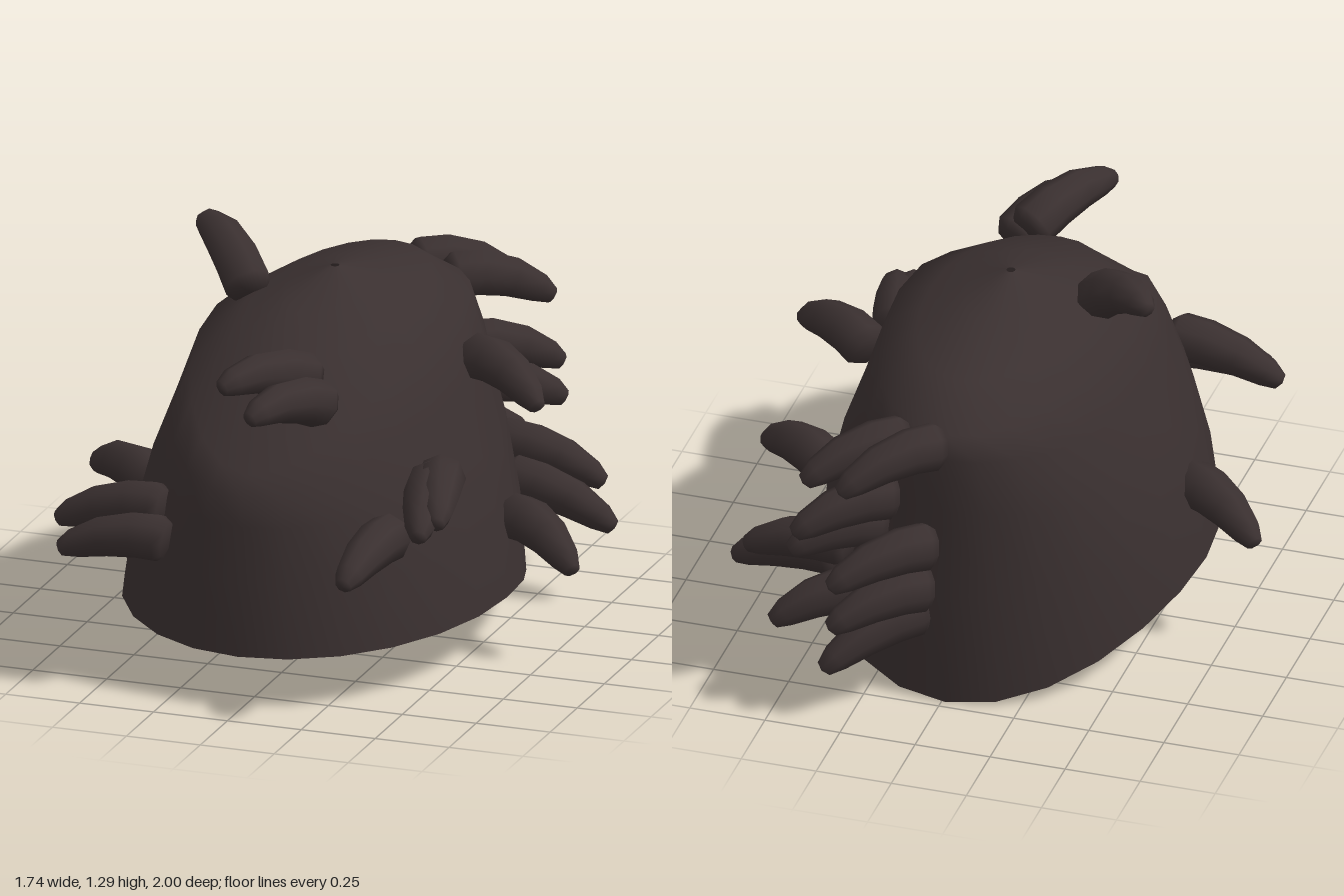
import * as THREE from 'three';
import { mergeVertices } from 'three/addons/utils/BufferGeometryUtils.js';

const SIDES = 24;

// Open shell: each ring gives front z,y / side x,y / back z,y
function capGeometry() {
  const rings = [
    [0.88, 0.175, 0.62, 0.19, -0.72, 0.0],
    [0.865, 0.42, 0.59, 0.41, -0.733, 0.4],
    [0.85, 0.6, 0.53, 0.63, -0.745, 0.72],
    [0.842, 0.695, 0.45, 0.84, -0.765, 0.92],
    [0.785, 0.755, 0.385, 1.035, -0.745, 1.0],
    [0.5, 1.025, 0.26, 1.1, -0.57, 1.105],
    [0.25, 1.118, 0.13, 1.155, -0.28, 1.155],
    [-0.005, 1.2, 0.014, 1.2, -0.035, 1.2],
  ];
  const pos = [], index = [];
  rings.forEach(([fz, fy, sx, sy, bz, by], i) => {
    for (let j = 0; j < SIDES; j++) {
      const a = (j / SIDES) * Math.PI * 2, c = Math.cos(a);
      const endY = c > 0 ? fy : by;
      pos.push(-0.01 + sx * Math.sin(a), sy + (endY - sy) * c * c, (fz + bz) / 2 + ((fz - bz) / 2) * c);
      if (i === rings.length - 1) continue;
      const p = i * SIDES + j, q = i * SIDES + ((j + 1) % SIDES);
      index.push(p, q, p + SIDES, q, q + SIDES, p + SIDES);
    }
  });
  const g = new THREE.BufferGeometry();
  g.setAttribute('position', new THREE.Float32BufferAttribute(pos, 3));
  g.setIndex(index);
  g.computeVertexNormals();
  return g;
}

// Tapered horn bent along an arc from base to tip
function tuftGeometry(base, tip, rise) {
  const profile = [[0, 0], [0.06, 0], [0.079, 0.07], [0.076, 0.3], [0.066, 0.6], [0.048, 0.86], [0.028, 0.98], [0, 1]]
    .map(([r, t]) => new THREE.Vector2(r, t));
  let g = new THREE.LatheGeometry(profile, 8);
  const a = new THREE.Vector3(...base), b = new THREE.Vector3(...tip);
  const mid = a.clone().add(b).multiplyScalar(0.5);
  mid.y += rise * 2;
  const curve = new THREE.QuadraticBezierCurve3(a, mid, b);
  const p = g.attributes.position, up = new THREE.Vector3(0, 1, 0);
  for (let i = 0; i < p.count; i++) {
    const t = p.getY(i), dir = curve.getTangent(t);
    const side = new THREE.Vector3().crossVectors(dir, up).normalize();
    const out = new THREE.Vector3().crossVectors(side, dir);
    const v = curve.getPoint(t).addScaledVector(side, p.getX(i)).addScaledVector(out, p.getZ(i));
    p.setXYZ(i, v.x, v.y, v.z);
  }
  g.deleteAttribute('uv');
  g.deleteAttribute('normal');
  g = mergeVertices(g, 1e-4);
  g.computeVertexNormals();
  return g;
}

export function createModel() {
  const model = new THREE.Group();
  const fur = new THREE.MeshStandardMaterial({ color: 0x3a3030, side: THREE.DoubleSide });
  fur.name = 'dark brown';

  const cap = new THREE.Mesh(capGeometry(), fur);
  cap.name = 'cap';
  model.add(cap);

  // Base, tip and arch height of every tuft
  const tufts = {
    crownTuft: [[[-0.27, 1.1, 0.05], [-0.52, 1.235, -0.19], 0.05]],
    leftTuft: [
      [[0.42, 0.9, -0.15], [0.715, 0.835, 0.08], 0.045],
      [[0.57, 0.4, -0.09], [0.855, 0.32, 0.14], 0.045],
    ],
    rightTuft: [[[-0.57, 0.44, 0.11], [-0.86, 0.395, -0.13], 0.04]],
    foreheadTuft: [
      [[0.11, 1.01, 0.53], [-0.08, 1.055, 0.85], 0.04],
      [[0.17, 0.94, 0.57], [0.03, 0.975, 0.89], 0.04],
    ],
    frontRightTuft: [
      [[-0.32, 0.59, 0.72], [-0.69, 0.495, 0.69], 0.03],
      [[-0.28, 0.51, 0.8], [-0.64, 0.44, 0.81], 0.03],
    ],
    frontLeftTuft: [
      [[0.49, 0.67, 0.36], [0.6, 0.63, 0.71], 0.03],
      [[0.47, 0.66, 0.4], [0.56, 0.6, 0.77], 0.03],
      [[0.42, 0.55, 0.63], [0.385, 0.49, 0.99], 0.03],
    ],
    backLeftTuft: [
      [[0.4, 0.37, -0.53], [0.77, 0.26, -0.47], 0.03],
      [[0.34, 0.46, -0.61], [0.7, 0.37, -0.57], 0.03],
    ],
    backTuft: [
      [[-0.01, 0.97, -0.76], [0.26, 0.87, -0.985], 0.04],
      [[0.12, 0.95, -0.72], [0.4, 0.85, -0.92], 0.04],
      [[0.16, 0.73, -0.71], [0.44, 0.64, -0.9], 0.035],
      [[0.02, 0.59, -0.75], [0.3, 0.5, -0.965], 0.035],
      [[0.2, 0.61, -0.69], [0.47, 0.54, -0.84], 0.035],
      [[0.03, 0.44, -0.76], [0.3, 0.35, -0.965], 0.035],
      [[0.06, 0.33, -0.72], [0.33, 0.18, -0.94], 0.035],
      [[0.25, 0.34, -0.65], [0.55, 0.23, -0.78], 0.035],
    ],
  };
  for (const [name, list] of Object.entries(tufts)) {
    for (const [base, tip, rise] of list) {
      const mesh = new THREE.Mesh(tuftGeometry(base, tip, rise), fur);
      mesh.name = name;
      model.add(mesh);
    }
  }
  return model;
}
